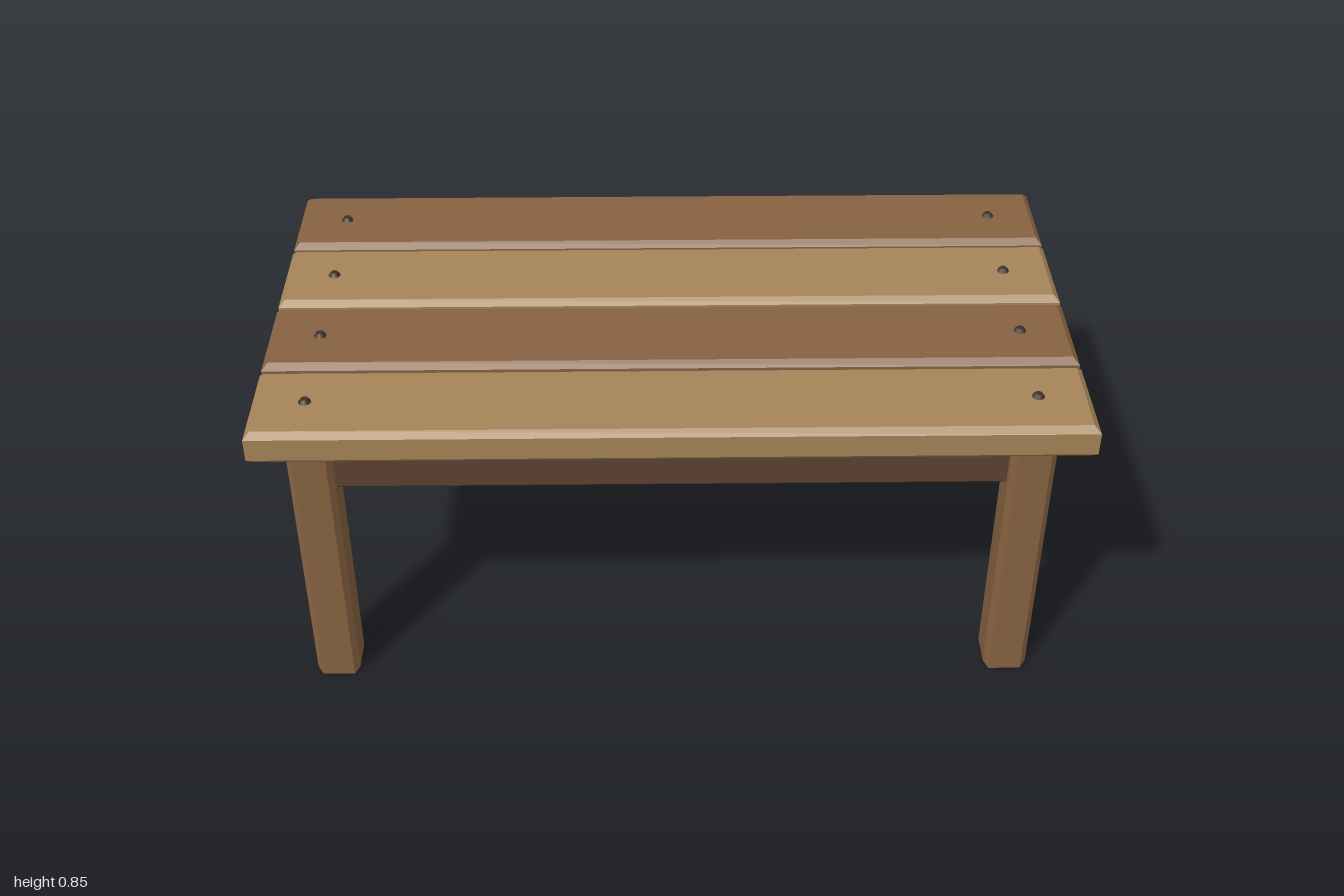
import * as THREE from 'three';

// Box extruded along z, with chamfers around its two z faces
function bevelledBox(w, h, d, b) {
  const x = w / 2 - b, y = h / 2 - b;
  const shape = new THREE.Shape([
    new THREE.Vector2(-x, -y), new THREE.Vector2(x, -y),
    new THREE.Vector2(x, y), new THREE.Vector2(-x, y),
  ]);
  const geo = new THREE.ExtrudeGeometry(shape, {
    depth: d - 2 * b, bevelEnabled: true, bevelThickness: b, bevelSize: b, bevelSegments: 1,
  });
  return geo.translate(0, 0, -d / 2 + b);
}

export function createModel() {
  const mat = (name, color) => {
    const m = new THREE.MeshStandardMaterial({ color });
    m.name = name;
    return m;
  };
  const lightWood = mat('lightWood', 0xa58458);
  const midWood = mat('midWood', 0x876242);
  const darkWood = mat('darkWood', 0x5c4231);
  const nailMetal = mat('nailMetal', 0x433027);

  const table = new THREE.Group();
  table.name = 'table';
  const add = (name, geo, material, x, y, z) => {
    const mesh = new THREE.Mesh(geo, material);
    mesh.name = name;
    mesh.position.set(x, y, z);
    table.add(mesh);
  };

  const legX = 0.8715, legZ = 0.4165;

  // Top planks in alternating wood, each nailed at both ends
  const plank = bevelledBox(2, 0.26, 0.09, 0.0155).rotateX(-Math.PI / 2);
  const nail = new THREE.CylinderGeometry(0.009, 0.016, 0.01, 8);
  [-0.4155, -0.1385, 0.1385, 0.4155].forEach((z, i) => {
    add('plank', plank, i % 2 ? lightWood : midWood, 0, 0.799, z);
    for (const s of [-1, 1]) add('nail', nail, nailMetal, s * legX, 0.849, z);
  });

  // Legs
  const leg = bevelledBox(0.11, 0.757, 0.11, 0.014).rotateY(Math.PI / 2);
  for (const sx of [-1, 1])
    for (const sz of [-1, 1]) add('leg', leg, midWood, sx * legX, 0.3785, sz * legZ);

  // Aprons running between the legs
  const longApron = bevelledBox(1.66, 0.162, 0.05, 0.009);
  const shortApron = bevelledBox(0.75, 0.162, 0.05, 0.009).rotateY(Math.PI / 2);
  for (const s of [-1, 1]) {
    add('longApron', longApron, darkWood, 0, 0.679, s * legZ);
    add('shortApron', shortApron, darkWood, s * legX, 0.679, 0);
  }
  return table;
}
